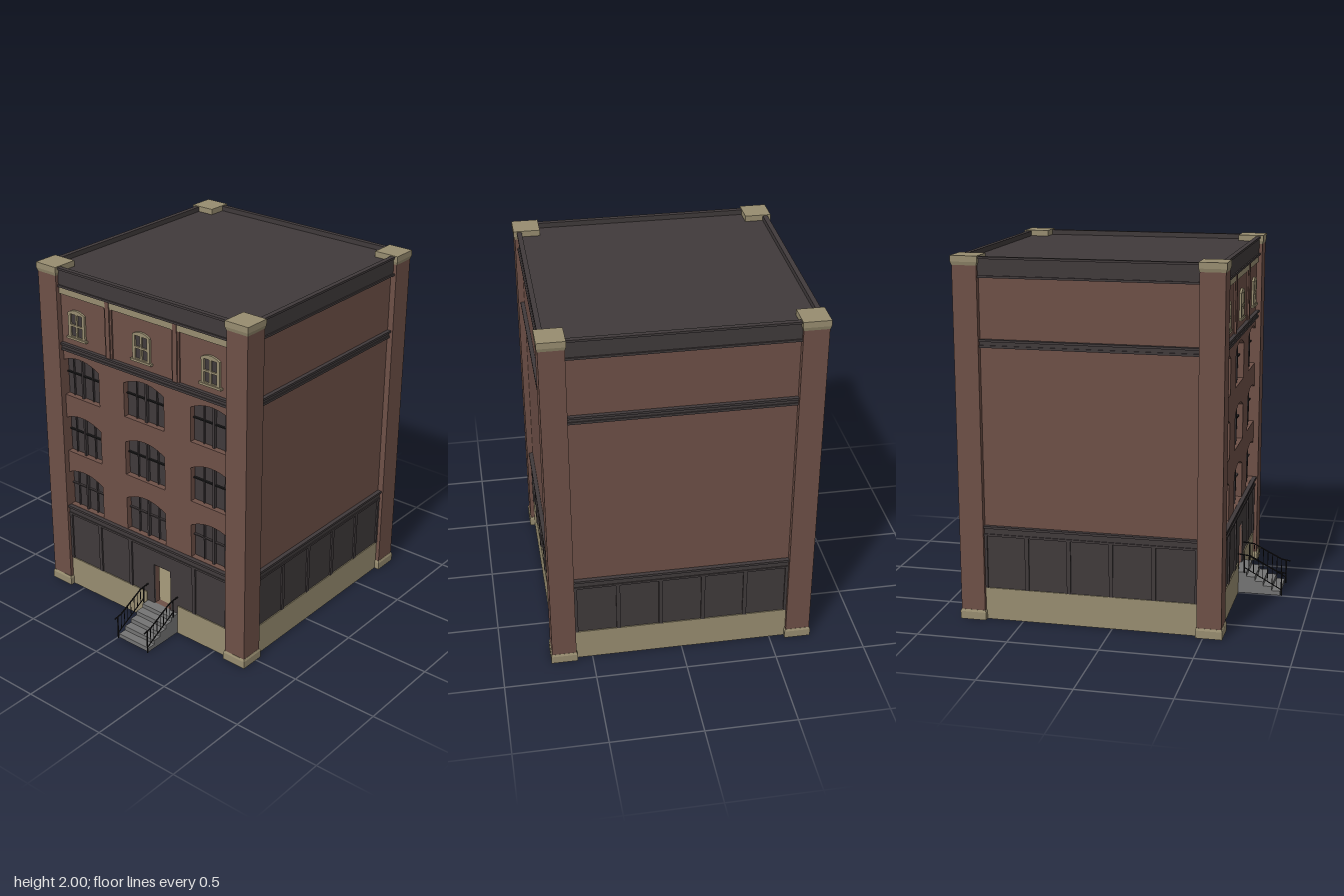
import * as THREE from 'three';

const mat = (name, color) => {
  const m = new THREE.MeshStandardMaterial({ color });
  m.name = name;
  return m;
};

export function createModel() {
  const brick = mat('brick', 0x6e5047);
  const stone = mat('stone', 0x988d70);
  const dark = mat('dark trim and glass', 0x403a3b);
  const grey = mat('stair grey', 0x747474);
  const iron = mat('black iron', 0x1b1a1b);

  const root = new THREE.Group();
  root.name = 'building';
  const body = new THREE.Group();
  body.name = 'body';
  body.position.z = -0.123;
  root.add(body);

  const add = (parent, name, geo, m) => {
    const mesh = new THREE.Mesh(geo, m);
    mesh.name = name;
    parent.add(mesh);
    return mesh;
  };
  // box given by its limits on each axis
  const box = (parent, name, m, x0, x1, y0, y1, z0, z1) => {
    const mesh = add(parent, name, new THREE.BoxGeometry(x1 - x0, y1 - y0, z1 - z0), m);
    mesh.position.set((x0 + x1) / 2, (y0 + y1) / 2, (z0 + z1) / 2);
    return mesh;
  };
  // opening or plate with a shallow arched head
  const arch = (Type, cx, w, y0, ySide, rise) => {
    const s = new Type();
    s.moveTo(cx - w, y0);
    s.lineTo(cx + w, y0);
    s.lineTo(cx + w, ySide);
    s.quadraticCurveTo(cx, ySide + rise * 2, cx - w, ySide);
    s.closePath();
    return s;
  };
  const extrude = (parent, name, m, shape, z0, depth) => {
    const mesh = add(parent, name,
      new THREE.ExtrudeGeometry(shape, { depth, bevelEnabled: false, curveSegments: 10 }), m);
    mesh.position.z = z0;
    return mesh;
  };
  const rectHole = (x0, x1, y0, y1) => arch(THREE.Path, (x0 + x1) / 2, (x1 - x0) / 2, y0, y1, 0);

  // trim shared by all four sides; local +z points outward
  const facades = [];
  for (let k = 0; k < 4; k++) {
    const f = new THREE.Group();
    f.name = ['front', 'left', 'back', 'right'][k] + 'Facade';
    f.rotation.y = k * Math.PI / 2;
    body.add(f);
    facades.push(f);
    const front = k === 0;
    const W = 0.61;

    if (!front) box(f, 'wall', brick, -0.69, 0.69, 0, 1.96, 0.65, 0.69);
    // stone base and ground floor panelling, broken at the entrance
    const spans = front ? [[-W, 0], [0.23, W]] : [[-W, W]];
    for (const [a, b] of spans) {
      box(f, 'stoneBase', stone, a, b, 0, 0.18, 0.685, 0.701);
      box(f, 'groundPanel', dark, a, b, 0.18, 0.49, 0.685, 0.695);
    }
    for (let i = 0; i < 6; i++) {
      if (front && i === 3) continue;
      const x = -0.585 + i * 0.234;
      box(f, 'panelPost', dark, x - 0.011, x + 0.011, 0.18, 0.49, 0.69, 0.704);
    }
    // horizontal cornices
    const bands = [
      [0.478, 0.49, 0.708], [0.49, 0.522, 0.702], [0.522, 0.535, 0.714],
      [1.515, 1.528, 0.706], [1.528, 1.548, 0.7], [1.548, 1.56, 0.712],
      [1.885, 1.897, 0.712], [1.897, 1.983, 0.704], [1.983, 1.995, 0.712],
    ];
    for (const [a, b, z] of bands) box(f, 'cornice', dark, -W, W, a, b, 0.685, z);
  }

  // front wall with window and door openings
  const front = facades[0];
  const wall = new THREE.Shape();
  wall.moveTo(-0.69, 0);
  wall.lineTo(0.69, 0);
  wall.lineTo(0.69, 1.96);
  wall.lineTo(-0.69, 1.96);
  wall.closePath();
  const columnsX = [-0.47, 0, 0.47];
  const rows = [0.537, 0.885, 1.24];
  for (const y of rows)
    for (const x of columnsX) wall.holes.push(arch(THREE.Path, x, 0.143, y, y + 0.2, 0.04));
  wall.holes.push(rectHole(0.055, 0.175, 0.125, 0.38));
  extrude(front, 'frontWall', brick, wall, 0.65, 0.04);

  // panelling around the doorway
  box(front, 'doorSide', dark, 0, 0.055, 0.125, 0.49, 0.685, 0.695);
  box(front, 'doorSide', dark, 0.175, 0.23, 0.125, 0.49, 0.685, 0.695);
  box(front, 'doorHead', dark, 0.055, 0.175, 0.38, 0.49, 0.685, 0.695);

  // large arched windows
  rows.forEach((y, r) => {
    for (const x of columnsX) {
      extrude(front, 'windowGlass', dark, arch(THREE.Shape, x, 0.145, y - 0.002, y + 0.2, 0.04), 0.65, 0.006);
      for (const dx of [-0.072, 0, 0.072]) {
        const w = dx ? 0.003 : 0.006;
        box(front, 'windowMullion', dark, x + dx - w, x + dx + w, y, y + (dx ? 0.225 : 0.238), 0.655, dx ? 0.666 : 0.674);
      }
      box(front, 'windowTransom', r ? iron : dark, x - 0.143, x + 0.143, y + 0.131, y + 0.138, 0.655, 0.668);
    }
  });

  // top floor: small framed windows
  for (const x of columnsX) {
    const frame = arch(THREE.Shape, x, 0.061, 1.61, 1.752, 0.019);
    for (const s of [-1, 1]) {
      const a = x + s * 0.006, b = x + s * 0.042;
      const x0 = Math.min(a, b), x1 = Math.max(a, b);
      frame.holes.push(rectHole(x0, x1, 1.618, 1.675), rectHole(x0, x1, 1.686, 1.747));
    }
    extrude(front, 'smallWindowFrame', stone, frame, 0.69, 0.012);
    box(front, 'smallWindowGlass', dark, x - 0.05, x + 0.05, 1.612, 1.752, 0.686, 0.693);
    box(front, 'smallWindowSill', stone, x - 0.073, x + 0.073, 1.6, 1.612, 0.686, 0.708);
  }
  // top floor: stone band and brick pilasters
  box(front, 'stoneBand', stone, -0.61, 0.61, 1.845, 1.885, 0.685, 0.701);
  for (const x of [-0.236, 0.236]) {
    box(front, 'pilaster', brick, x - 0.026, x + 0.026, 1.56, 1.885, 0.685, 0.698);
    box(front, 'pilasterFace', brick, x - 0.014, x + 0.014, 1.56, 1.885, 0.69, 0.705);
  }

  // floor and roof
  box(body, 'floor', stone, -0.66, 0.66, 0.115, 0.125, -0.66, 0.66);
  box(body, 'roof', dark, -0.695, 0.695, 1.945, 1.967, -0.695, 0.695);

  // square frustum with half widths at bottom and top
  const block = (parent, name, m, x, z, y0, y1, h0, h1) => {
    const g = new THREE.CylinderGeometry(h1 * Math.SQRT2, h0 * Math.SQRT2, y1 - y0, 4).toNonIndexed();
    g.rotateY(Math.PI / 4);
    g.computeVertexNormals();
    add(parent, name, g, m).position.set(x, (y0 + y1) / 2, z);
  };
  // corner columns with stone feet and caps
  for (const sx of [-1, 1]) for (const sz of [-1, 1]) {
    const x = sx * 0.657, z = sz * 0.655;
    block(body, 'cornerColumn', brick, x, z, 0.03, 1.97, 0.067, 0.067);
    block(body, 'columnFoot', stone, x, z, 0, 0.043, 0.073, 0.073);
    block(body, 'columnFootTop', stone, x, z, 0.043, 0.055, 0.073, 0.068);
    block(body, 'columnCapBottom', stone, x, z, 1.95, 1.968, 0.068, 0.073);
    block(body, 'columnCap', stone, x, z, 1.968, 2, 0.073, 0.073);
  }

  // entrance steps
  for (let i = 0; i < 5; i++)
    box(root, 'step', grey, 0.006, 0.226, i * 0.025, (i + 1) * 0.025, 0.562, 0.82 - i * 0.049);

  // iron railings on both sides of the steps
  const rod = (parent, name, x, [y0, z0], [y1, z1], r) => {
    const a = new THREE.Vector3(x, y0, z0), d = new THREE.Vector3(x, y1, z1).sub(a);
    const mesh = add(parent, name, new THREE.CylinderGeometry(r, r, d.length(), 6), iron);
    mesh.position.copy(a).addScaledVector(d, 0.5);
    mesh.quaternion.setFromUnitVectors(new THREE.Vector3(0, 1, 0), d.normalize());
  };
  for (const x of [0.006, 0.226]) {
    const rail = new THREE.Group();
    rail.name = 'railing';
    root.add(rail);
    const path = [[0.137, 0.851], [0.145, 0.8], [0.228, 0.635], [0.234, 0.57]];
    for (let i = 0; i < 3; i++) rod(rail, 'handrail', x, path[i], path[i + 1], 0.004);
    rod(rail, 'lowerRail', x, [0.035, 0.827], [0.155, 0.61], 0.003);
    rod(rail, 'newelPost', x, [0, 0.827], [0.141, 0.827], 0.004);
    rod(rail, 'topPost', x, [0.12, 0.61], [0.231, 0.61], 0.004);
    for (let i = 1; i < 8; i++) {
      const t = i / 8, z = 0.827 - 0.217 * t;
      rod(rail, 'baluster', x, [0.035 + 0.12 * t, z], [0.137 + 0.094 * t, z], 0.002);
    }
  }
  return root;
}
